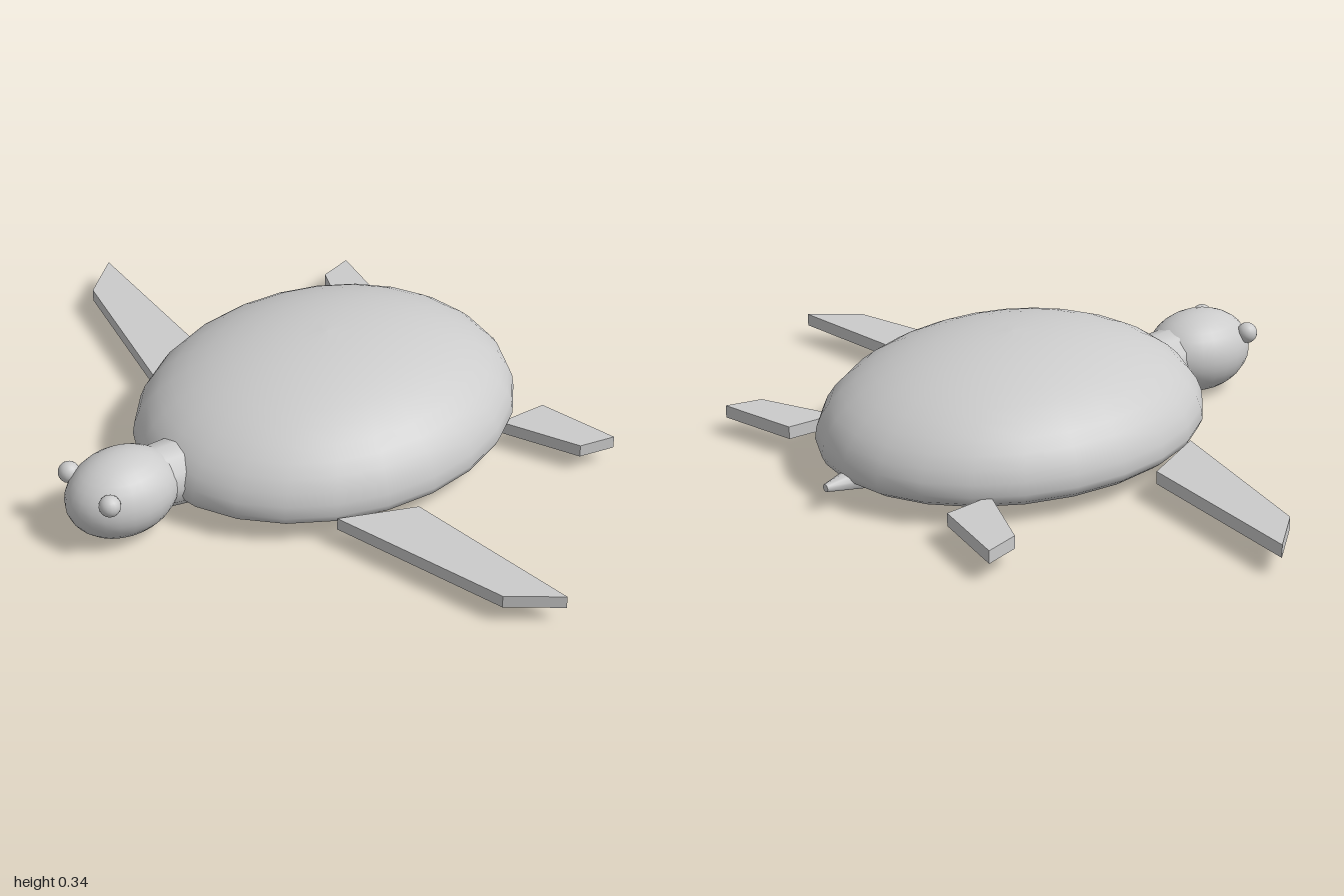
import * as THREE from 'three';

export function createModel() {
  const group = new THREE.Group();
  const smooth = new THREE.MeshStandardMaterial({ color: 0xcccccc });
  const faceted = new THREE.MeshStandardMaterial({ color: 0xcccccc, flatShading: true });

  const add = (name, geometry, material = smooth) => {
    const mesh = new THREE.Mesh(geometry, material);
    mesh.name = name;
    group.add(mesh);
    return mesh;
  };

  // Shell: shallow belly, rounded rim and elliptical dome, stretched lengthwise
  const profile = [[0, 0.01], [0.35, 0.013], [0.65, 0.024], [0.85, 0.038], [0.93, 0.05], [0.98, 0.068]]
    .map(([r, y]) => new THREE.Vector2(r, y));
  for (let i = 0; i <= 12; i++) {
    const a = (i / 12) * Math.PI / 2;
    profile.push(new THREE.Vector2(i === 12 ? 0 : Math.cos(a), 0.09 + 0.255 * Math.sin(a)));
  }
  const shell = add('shell', new THREE.LatheGeometry(profile, 24));
  shell.scale.set(0.46, 1, 0.555);
  shell.position.z = -0.115;

  // Head
  const head = add('head', new THREE.SphereGeometry(1, 24, 16));
  head.scale.set(0.125, 0.115, 0.16);
  head.position.set(0, 0.12, 0.56);

  // Round tapered bar between two points
  const taper = (name, from, to, r0, r1, sides) => {
    const a = new THREE.Vector3(...from), b = new THREE.Vector3(...to);
    const dir = b.clone().sub(a);
    const mesh = add(name, new THREE.CylinderGeometry(r1, r0, dir.length(), sides));
    mesh.position.copy(a).add(b).multiplyScalar(0.5);
    mesh.quaternion.setFromUnitVectors(new THREE.Vector3(0, 1, 0), dir.normalize());
  };
  taper('neck', [0, 0.1, 0.325], [0, 0.12, 0.47], 0.095, 0.085, 12);
  taper('tail', [0, 0.07, -0.6], [0, 0.066, -0.725], 0.04, 0.011, 8);

  // Flippers: flat slabs cut from a top outline given as x, z
  const flipper = (name, outline, side) => {
    const shape = new THREE.Shape(outline.map(([x, z]) => new THREE.Vector2(x * side, -z)));
    const geometry = new THREE.ExtrudeGeometry(shape, { depth: 0.035, bevelEnabled: false });
    geometry.rotateX(-Math.PI / 2);
    add(name, geometry, faceted).position.y = 0.05;
  };
  const front = [[0.4, 0.165], [0.9, 0.04], [1, -0.085], [0.49, -0.035]];
  const hind = [[0.335, -0.455], [0.55, -0.55], [0.575, -0.65], [0.345, -0.6]];

  for (const [label, side] of [['left', 1], ['right', -1]]) {
    flipper(label + 'FrontFlipper', front, side);
    flipper(label + 'HindFlipper', hind, side);
    add(label + 'Eye', new THREE.SphereGeometry(0.029, 16, 12)).position.set(0.093 * side, 0.172, 0.66);
  }
  return group;
}
